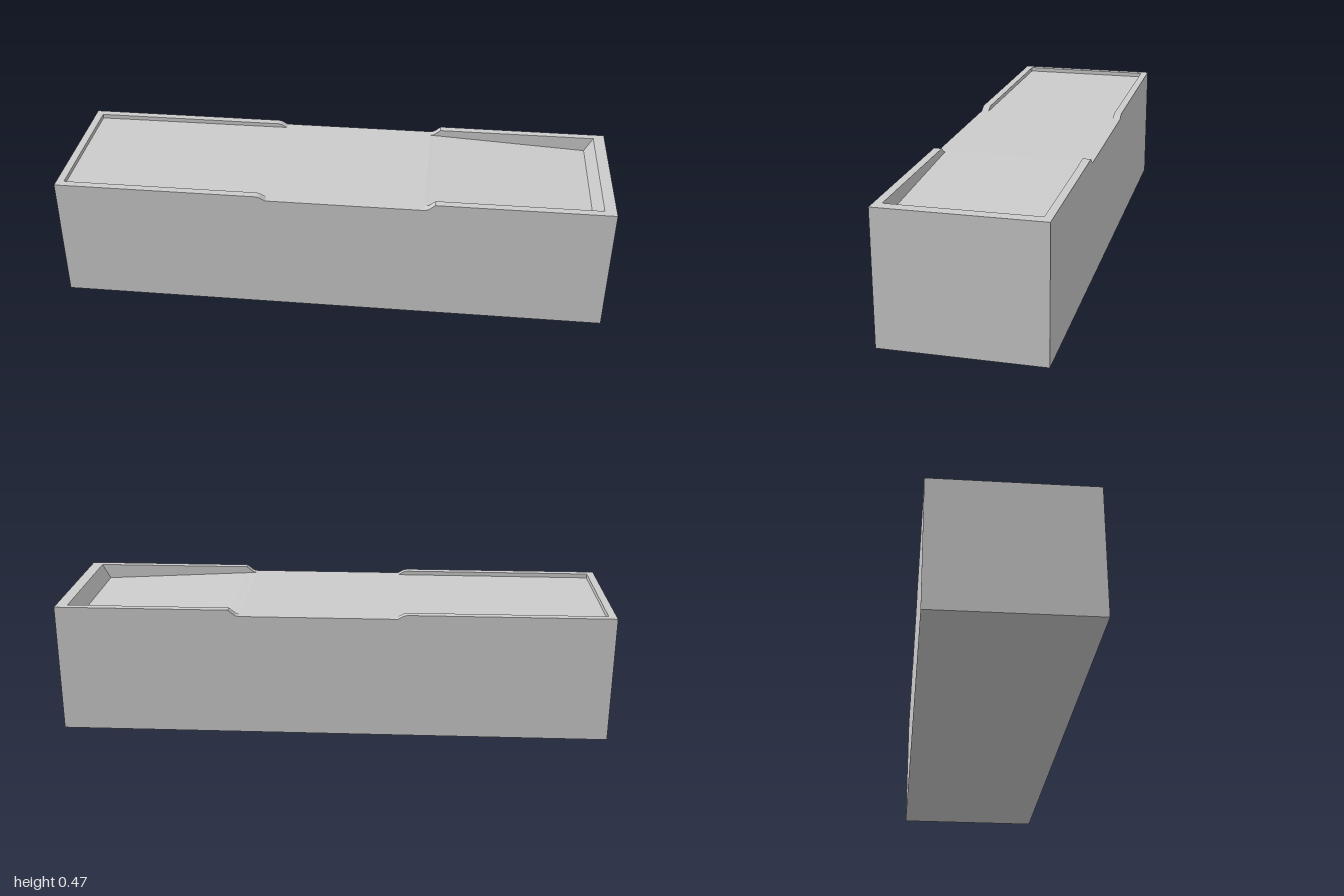
import * as THREE from 'three';

const HALF = 0.2815;   // half depth of the block
const INNER = 0.253;   // half depth of the recessed top
// stations along the length: [x, rim height, floor height]
const STATIONS = [
  [-1, 0.465, 0.465], [-0.972, 0.465, 0.465], [-0.972, 0.465, 0.449],
  [-0.265, 0.465, 0.45], [-0.252, 0.462, 0.45], [-0.23, 0.45, 0.45],
  [0.335, 0.45, 0.45], [0.348, 0.453, 0.449], [0.373, 0.473, 0.448],
  [0.928, 0.473, 0.418], [0.958, 0.473, 0.473], [1, 0.473, 0.473],
];

// cross-section: up the back, over the rims and the floor, down the front
function section([x, rim, floor]) {
  return [
    [-HALF, 0], [-HALF, rim], [-INNER, rim], [-INNER, floor],
    [INNER, floor], [INNER, rim], [HALF, rim], [HALF, 0],
  ].map(([z, y]) => new THREE.Vector3(x, y, z));
}

function loft(stations) {
  const rings = stations.map(section);
  const positions = [];
  const triangle = (a, b, c) => {
    if (new THREE.Triangle(a, b, c).getArea() < 1e-8) return;
    for (const p of [a, b, c]) positions.push(p.x, p.y, p.z);
  };
  const quad = (a, b, c, d) => { triangle(a, b, c); triangle(a, c, d); };

  for (let i = 0; i < rings.length - 1; i++) {
    const a = rings[i], b = rings[i + 1];
    for (let j = 0; j < a.length; j++) {
      const k = (j + 1) % a.length;
      quad(a[j], a[k], b[k], b[j]);
    }
  }
  // end faces
  const first = rings[0], last = rings[rings.length - 1];
  quad(first[7], first[6], first[1], first[0]);
  quad(last[0], last[1], last[6], last[7]);

  const geometry = new THREE.BufferGeometry();
  geometry.setAttribute('position', new THREE.Float32BufferAttribute(positions, 3));
  geometry.computeVertexNormals();
  return geometry;
}

export function createModel() {
  const group = new THREE.Group();
  group.name = 'recessedBlock';
  // block with a raised rim at both ends and a sunken top between them
  const material = new THREE.MeshStandardMaterial({ color: 0xcccccc, flatShading: true });
  const body = new THREE.Mesh(loft(STATIONS), material);
  body.name = 'blockBody';
  group.add(body);
  return group;
}
